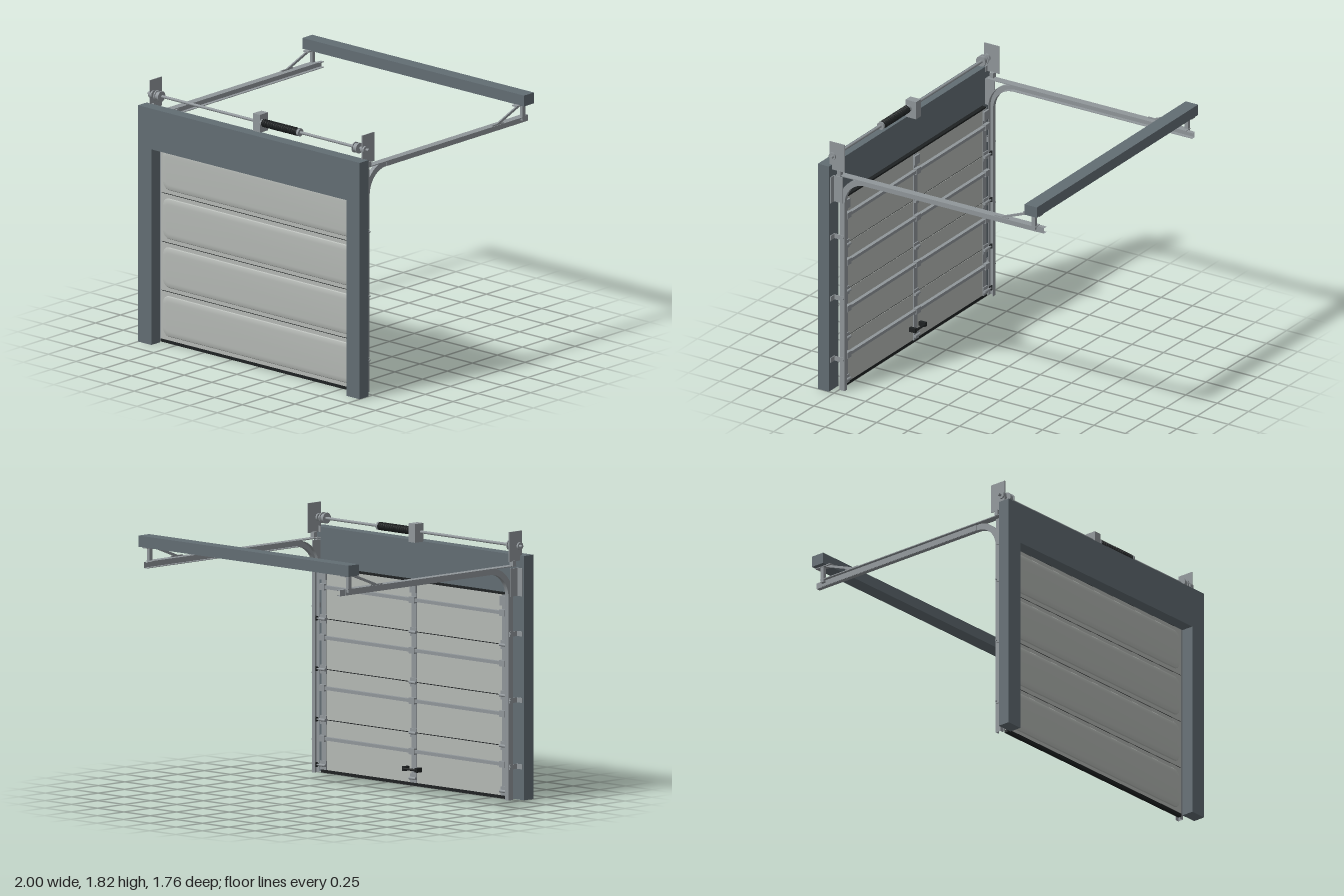
import * as THREE from 'three';
import { toCreasedNormals } from 'three/addons/utils/BufferGeometryUtils.js';

const mat = (name, color, side = THREE.FrontSide) => {
  const m = new THREE.MeshStandardMaterial({ color, side });
  m.name = name;
  return m;
};

export function createModel() {
  const slate = mat('slate frame', 0x626d73);
  const panelGrey = mat('panel grey', 0xb4b8b4);
  const steel = mat('galvanised steel', 0x90969a, THREE.DoubleSide);
  const rubber = mat('black rubber', 0x1e2122);
  const root = new THREE.Group();
  root.name = 'sectionalDoor';

  const add = (name, geo, material, x = 0, y = 0, z = 0) => {
    const m = new THREE.Mesh(geo, material);
    m.name = name;
    m.position.set(x, y, z);
    root.add(m);
    return m;
  };
  // Box given by its limits on each axis
  const box = (name, material, x0, x1, y0, y1, z0, z1) =>
    add(name, new THREE.BoxGeometry(Math.abs(x1 - x0), y1 - y0, z1 - z0), material,
      (x0 + x1) / 2, (y0 + y1) / 2, (z0 + z1) / 2);
  // Cylinder lying along x
  const rod = (name, material, x0, x1, r, y, z, sides = 20) =>
    add(name, new THREE.CylinderGeometry(r, r, Math.abs(x1 - x0), sides).rotateZ(Math.PI / 2),
      material, (x0 + x1) / 2, y, z);

  // Surround: jambs and header in one arch
  const arch = new THREE.Shape();
  [[-1, 0], [-0.88, 0], [-0.88, 1.37], [0.88, 1.37], [0.88, 0], [1, 0], [1, 1.655], [-1, 1.655]]
    .forEach(([x, y], i) => (i ? arch.lineTo(x, y) : arch.moveTo(x, y)));
  add('surround', new THREE.ExtrudeGeometry(arch, { depth: 0.088, bevelEnabled: false }), slate, 0, 0, 0.791);

  // Raised field pressed into each door section
  const fw = 0.872, fh = 0.142, fr = 0.06;
  const field = new THREE.Shape();
  field.moveTo(-fw + fr, -fh);
  field.lineTo(fw - fr, -fh);
  field.absarc(fw - fr, -fh + fr, fr, -Math.PI / 2, 0);
  field.absarc(fw - fr, fh - fr, fr, 0, Math.PI / 2);
  field.absarc(-fw + fr, fh - fr, fr, Math.PI / 2, Math.PI);
  field.absarc(-fw + fr, -fh + fr, fr, Math.PI, Math.PI * 1.5);
  const fieldGeo = toCreasedNormals(new THREE.ExtrudeGeometry(field, {
    depth: 0.001, bevelThickness: 0.012, bevelSize: 0.036, bevelOffset: -0.036, bevelSegments: 3, curveSegments: 6,
  }), 0.3);

  // Door sections with stiles, struts, hinges and rollers
  const H = 0.342, base = 0.018;
  for (let i = 0; i < 4; i++) {
    const y0 = base + i * H, y1 = y0 + H;
    box('doorSection', panelGrey, -0.89, 0.89, y0 + 0.003, y1 - 0.003, 0.749, 0.772);
    add('raisedField', fieldGeo, panelGrey, 0, (y0 + y1) / 2, 0.771);
    if (i) box('sectionSeal', rubber, -0.885, 0.885, y0 - 0.003, y0 + 0.003, 0.752, 0.768);
    box('strut', steel, -0.87, 0.87, y1 - 0.135, y1 - 0.113, 0.723, 0.749);
    for (const x of [-0.86, 0, 0.86]) {
      box('stile', steel, x - 0.022, x + 0.022, y0 + 0.004, y1 - 0.004, 0.743, 0.749);
      const yh = i ? y0 : y0 + 0.035;
      box('hingePlate', steel, x - 0.03, x + 0.03, yh - 0.03, yh + 0.03, 0.736, 0.743);
      rod('hingeKnuckle', steel, x - 0.03, x + 0.03, 0.01, yh, 0.73, 10);
      box('strutClip', steel, x - 0.026, x + 0.026, y1 - 0.145, y1 - 0.103, 0.718, 0.743);
      if (x) {
        const s = Math.sign(x);
        rod('rollerStem', steel, s * 0.85, s * 0.912, 0.006, yh, 0.728, 8);
        rod('roller', rubber, s * 0.91, s * 0.929, 0.016, yh, 0.728, 14);
      }
    }
  }
  box('bottomSeal', rubber, -0.89, 0.89, 0, 0.021, 0.747, 0.775);
  box('topSeal', rubber, -0.88, 0.88, 1.383, 1.395, 0.747, 0.778);

  // Top brackets and lift handle
  for (const x of [-0.86, 0, 0.86]) box('topBracket', steel, x - 0.03, x + 0.03, 1.31, 1.375, 0.728, 0.743);
  rod('handleGrip', rubber, -0.06, 0.06, 0.008, 0.115, 0.704, 10);
  for (const x of [-0.06, 0.06]) {
    box('handlePost', rubber, x - 0.012, x + 0.012, 0.1, 0.13, 0.7, 0.749);
  }

  // Channel track swept up, around the bend and back
  const path = [[0.728, 0, 0]];
  for (let k = 0; k <= 14; k++) {
    const a = (k / 14) * Math.PI / 2;
    path.push([0.543 + 0.185 * Math.cos(a), 1.38 + 0.185 * Math.sin(a), a]);
  }
  path.push([-0.88, 1.565, Math.PI / 2]);
  const section = [[0.905, 0.021], [0.935, 0.021], [0.935, -0.021], [0.905, -0.021],
    [0.905, -0.017], [0.931, -0.017], [0.931, 0.017], [0.905, 0.017]];
  const trackGeo = (s) => {
    const sec = s > 0 ? section : [...section].reverse();
    const n = sec.length, pos = [], idx = [];
    for (const [z, y, a] of path)
      for (const [x, d] of sec) pos.push(s * x, y + d * Math.sin(a), z + d * Math.cos(a));
    for (let k = 0; k < path.length - 1; k++)
      for (let j = 0; j < n; j++) {
        const a = k * n + j, b = k * n + (j + 1) % n;
        idx.push(a, b, b + n, a, b + n, a + n);
      }
    const g = new THREE.BufferGeometry();
    g.setAttribute('position', new THREE.Float32BufferAttribute(pos, 3));
    g.setIndex(idx);
    return toCreasedNormals(g, 0.5);
  };

  for (const s of [1, -1]) {
    const sb = (name, x0, x1, ...r) => box(name, steel, s * x0, s * x1, ...r);
    add('track', trackGeo(s), steel);

    // Angle along the horizontal track
    sb('trackAngleTop', 0.905, 0.96, 1.584, 1.59, -0.83, 0.76);
    sb('trackAngleSide', 0.935, 0.939, 1.545, 1.587, -0.83, 0.54);

    // Jamb brackets and flag plate
    for (const y of [0.225, 0.675, 1.125]) {
      sb('jambBracketArm', 0.935, 0.94, y - 0.017, y + 0.017, 0.715, 0.79);
      sb('jambBracketFoot', 0.935, 0.985, y - 0.017, y + 0.017, 0.785, 0.791);
      rod('bracketBolt', steel, s * 0.935, s * 0.948, 0.006, y, 0.718, 8);
    }
    sb('flagPlate', 0.938, 0.944, 1.38, 1.57, 0.717, 0.791);
    sb('flagFlange', 0.938, 0.985, 1.38, 1.57, 0.785, 0.791);

    // Bearing plate, bearing and cable drum
    sb('bearingPlate', 0.955, 0.961, 1.62, 1.822, 0.69, 0.81);
    sb('bearingPlateFoot', 0.93, 0.965, 1.585, 1.625, 0.722, 0.75);
    sb('bearingPlateFlange', 0.935, 0.961, 1.62, 1.66, 0.785, 0.792);
    rod('bearing', steel, s * 0.942, s * 0.972, 0.026, 1.72, 0.785);
    rod('drumFlange', steel, s * 0.905, s * 0.915, 0.037, 1.72, 0.785, 24);
    rod('drum', steel, s * 0.88, s * 0.905, 0.03, 1.72, 0.785, 24);
    rod('drumRim', steel, s * 0.872, s * 0.88, 0.037, 1.72, 0.785, 24);

    // Rear hanger with diagonal brace
    sb('hangerPost', 0.937, 0.96, 1.565, 1.685, -0.825, -0.797);
    sb('hangerPlate', 0.92, 0.965, 1.675, 1.683, -0.865, -0.735);
    sb('braceFoot', 0.945, 0.955, 1.588, 1.598, -0.61, -0.5);
    const dz = 0.22, dy = 0.085;
    add('brace', new THREE.BoxGeometry(0.012, 0.016, Math.hypot(dz, dy)), steel, s * 0.948, 1.637, -0.67)
      .rotation.x = Math.atan2(dy, dz);
  }
  box('rearBeam', slate, -1, 1, 1.681, 1.757, -0.866, -0.767);

  // Torsion shaft, centre bracket and spring
  rod('shaft', steel, -0.995, 0.995, 0.01, 1.72, 0.78, 16);
  box('centreBracket', steel, -0.03, 0.03, 1.652, 1.778, 0.72, 0.803);
  rod('springCone', steel, 0.03, 0.05, 0.025, 1.72, 0.78);
  rod('springWinder', steel, 0.36, 0.378, 0.027, 1.72, 0.78);
  const coil = new THREE.Curve();
  const turns = 30;
  coil.getPoint = (t, v = new THREE.Vector3()) => {
    const a = t * turns * Math.PI * 2;
    return v.set(0.045 + t * 0.317, 1.72 + 0.024 * Math.cos(a), 0.78 + 0.024 * Math.sin(a));
  };
  add('spring', new THREE.TubeGeometry(coil, turns * 14, 0.0045, 6), rubber);
  rod('springCore', rubber, 0.045, 0.362, 0.02, 1.72, 0.78);
  return root;
}
